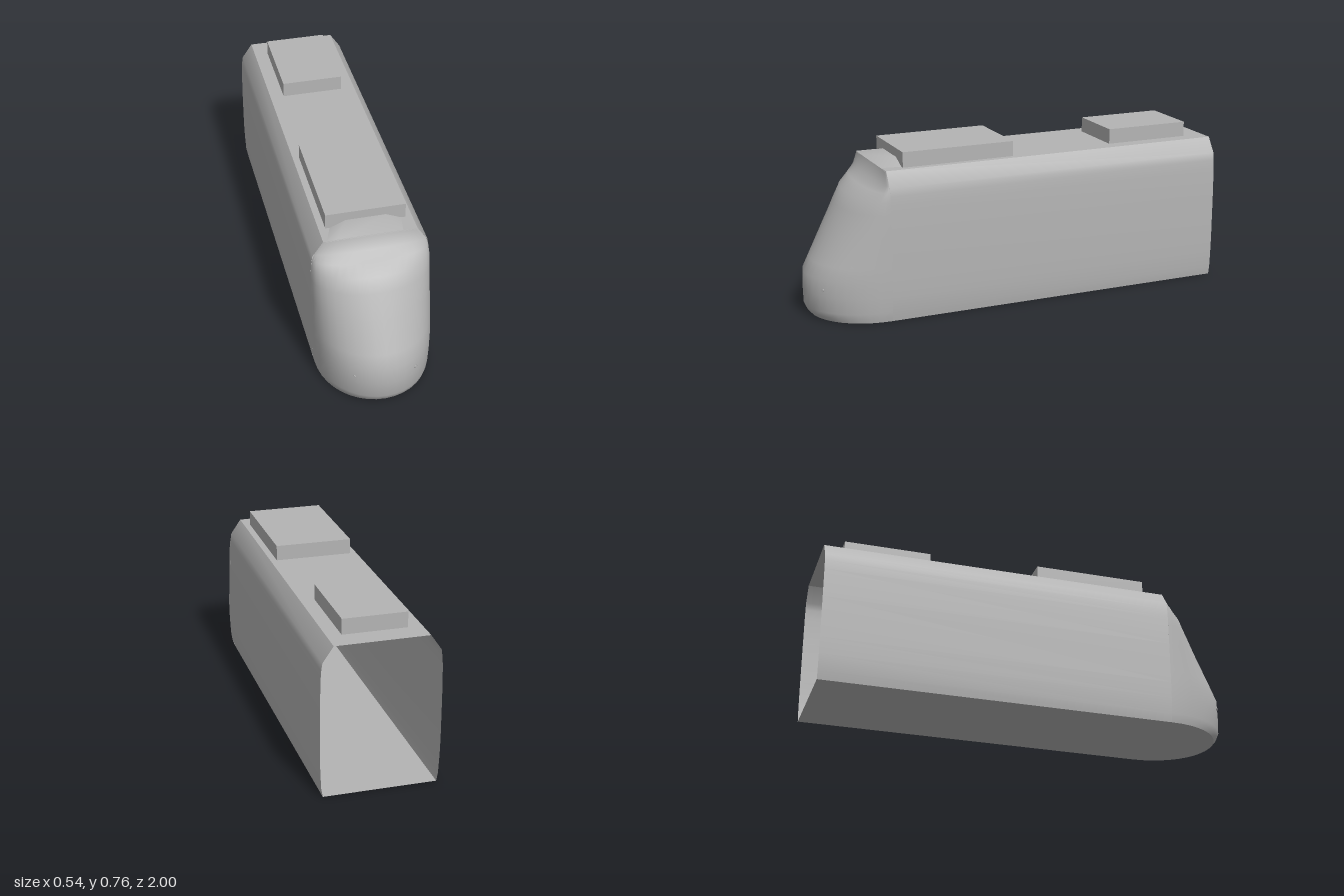
import * as THREE from 'three';
import { toCreasedNormals } from 'three/addons/utils/BufferGeometryUtils.js';

const SEAM = 0.665; // z where the nose meets the straight body

// Half outline of the body: [half width, height]
const SIDE = [[0.255, 0], [0.262, 0.04], [0.266, 0.12], [0.268, 0.2], [0.268, 0.4],
  [0.266, 0.54], [0.263, 0.585], [0.258, 0.62], [0.21, 0.69]];

// Nose levels: [height, half width, front z]
const NOSE = [[0, 0.255, 0.97], [0.02, 0.259, 0.987], [0.045, 0.262, 0.998], [0.12, 0.266, 1],
  [0.2, 0.268, 0.998], [0.26, 0.268, 0.967], [0.4, 0.268, 0.89], [0.5, 0.267, 0.833],
  [0.56, 0.265, 0.796], [0.6, 0.26, 0.74], [0.63, 0.251, 0.69], [0.69, 0.21, 0.668]];

// Joins rows of points into a surface
function loft(rows, crease = 0.7) {
  const n = rows[0].length, index = [];
  for (let i = 0; i < rows.length - 1; i++) {
    for (let j = 0; j < n - 1; j++) {
      const a = i * n + j, b = a + 1, c = b + n, d = a + n;
      index.push(a, b, c, a, c, d);
    }
  }
  const geo = new THREE.BufferGeometry();
  geo.setAttribute('position', new THREE.Float32BufferAttribute(rows.flat(2), 3));
  geo.setIndex(index);
  return toCreasedNormals(geo, crease);
}

// Rounded plan curve of the nose at one level
function noseRow([y, w, front], steps = 20) {
  return Array.from({ length: steps + 1 }, (_, i) => {
    const a = (i / steps - 0.5) * Math.PI;
    return [w * Math.sin(a), y, SEAM + (front - SEAM) * Math.max(0, Math.cos(a)) ** 0.95];
  });
}

export function createModel() {
  const group = new THREE.Group();
  const grey = new THREE.MeshStandardMaterial({ name: 'plain grey', color: 0xb4b4b4, side: THREE.DoubleSide });
  const add = (name, geo, x = 0, y = 0, z = 0) => {
    const mesh = new THREE.Mesh(geo, grey);
    mesh.name = name;
    mesh.position.set(x, y, z);
    group.add(mesh);
    return mesh;
  };

  // Straight body, open at the rear
  const ring = [...SIDE, ...SIDE.map(([x, y]) => [-x, y]).reverse(), SIDE[0]];
  add('bodyShell', loft([-1, SEAM].map(z => ring.map(([x, y]) => [x, y, z]))));

  // Rounded, raked nose and its floor
  add('nose', loft(NOSE.map(l => noseRow(l)), 0.9));
  const outline = noseRow(NOSE[0]).map(([x, , z]) => new THREE.Vector2(x, z));
  add('noseFloor', new THREE.ShapeGeometry(new THREE.Shape(outline)).rotateX(Math.PI / 2));

  // Low fairing ahead of and beneath the front roof unit
  const fairing = [[0.668, 0.2, 0.15, 0.688], [0.575, 0.165, 0.09, 0.72], [0.5, 0.15, 0.08, 0.705], [0.42, 0.13, 0.08, 0.69]];
  add('roofFairing', loft(fairing.reverse().map(([z, w, t, y]) =>
    [[w, 0.688, z], [t, y, z], [-t, y, z], [-w, 0.688, z]])));

  // Roof equipment boxes
  add('frontRoofUnit', new THREE.BoxGeometry(0.36, 0.072, 0.54), 0, 0.725, 0.305);
  add('rearRoofUnit', new THREE.BoxGeometry(0.29, 0.072, 0.41), 0, 0.725, -0.69);

  // Small hexagonal lamps
  for (const s of [-1, 1]) {
    const lamp = add(s > 0 ? 'leftLamp' : 'rightLamp',
      new THREE.CylinderGeometry(0.008, 0.008, 0.008, 6).rotateX(Math.PI / 2), s * 0.138, 0.15, 0.953);
    lamp.rotation.y = s * 0.6;
  }
  return group;
}
